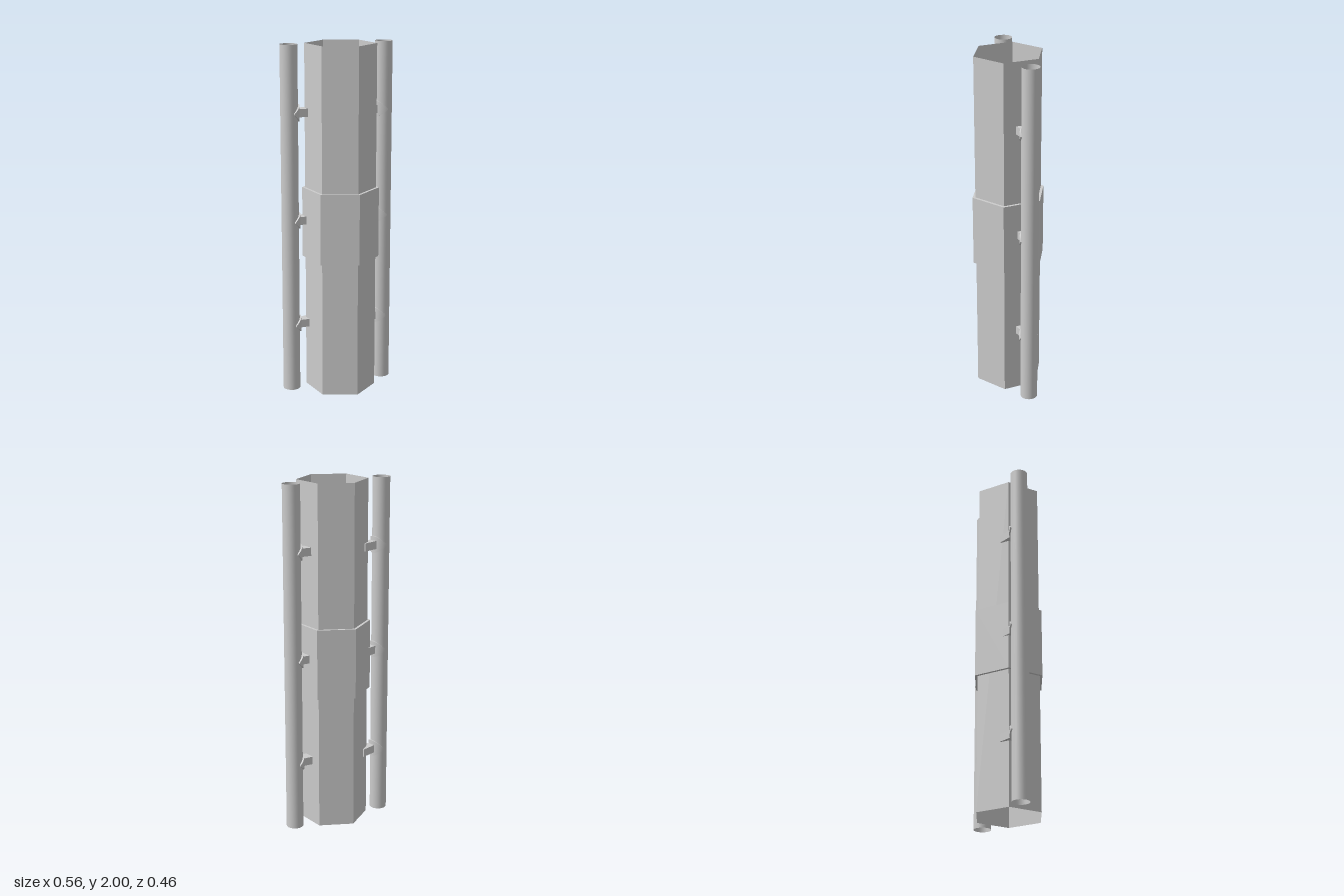
import * as THREE from 'three';

const grey = (opts = {}) => new THREE.MeshStandardMaterial({ color: 0xcccccc, side: THREE.DoubleSide, ...opts });
const HEX_TURN = THREE.MathUtils.degToRad(43.8);
const PIPE_R = 0.049;

function add(parent, name, geometry, material) {
  const mesh = new THREE.Mesh(geometry, material);
  mesh.name = name;
  parent.add(mesh);
  return mesh;
}

// Apply a rule to every vertex, then refresh the normals
function reshape(geometry, rule) {
  const pos = geometry.attributes.position;
  const v = new THREE.Vector3();
  for (let i = 0; i < pos.count; i++) {
    rule(v.fromBufferAttribute(pos, i));
    pos.setXYZ(i, v.x, v.y, v.z);
  }
  geometry.computeVertexNormals();
  return geometry;
}

// Oval pad wrapped around the pipe, facing local +z
function saddleGeometry() {
  return reshape(new THREE.BoxGeometry(2, 2, 1, 14, 1, 1), (v) => {
    const a = v.x * THREE.MathUtils.degToRad(86);
    const r = 0.053 + v.z * 0.01;
    v.set(r * Math.sin(a), v.y * 0.048 * Math.cos(a), r * Math.cos(a));
  });
}

// Wedge-shaped arm that widens toward the hexagonal tube
function armGeometry() {
  return reshape(new THREE.BoxGeometry(2, 0.046, 1), (v) => {
    const t = v.z + 0.5;
    v.x *= 0.024 + 0.0155 * t;
    v.z = 0.053 + 0.093 * t;
  });
}

export function createModel() {
  const model = new THREE.Group();
  model.name = 'hexagonalTubeWithPipes';
  const flat = grey({ flatShading: true });
  const smooth = grey();

  // Open hexagonal tube with a collar round its middle
  const body = new THREE.Group();
  body.name = 'hexagonalBody';
  body.position.set(0.029, 0, 0.019);
  model.add(body);
  add(body, 'hexagonalTube', new THREE.CylinderGeometry(0.2, 0.2, 2, 6, 1, true, HEX_TURN), flat).position.y = 1;
  const collar = [[0.2, 0.785], [0.217, 0.785], [0.217, 1.19], [0.2, 1.19]].map(([x, y]) => new THREE.Vector2(x, y));
  add(body, 'collar', new THREE.LatheGeometry(collar, 6, HEX_TURN), flat);

  // Two open side pipes, each held by three brackets
  const pipes = [
    { name: 'rightPipe', x: -0.231, z: 0.146, turn: 0.75 * Math.PI },
    { name: 'leftPipe', x: 0.227, z: -0.181, turn: -0.25 * Math.PI },
  ];
  for (const { name, x, z, turn } of pipes) {
    const side = new THREE.Group();
    side.name = name + 'Assembly';
    side.position.set(x, 0, z);
    side.rotation.y = turn;
    model.add(side);
    add(side, name, new THREE.CylinderGeometry(PIPE_R, PIPE_R, 2, 32, 1, true), smooth).position.y = 1;
    for (const y of [0.39, 1.005, 1.62]) {
      const bracket = new THREE.Group();
      bracket.name = 'bracket';
      bracket.position.y = y;
      side.add(bracket);
      add(bracket, 'saddle', saddleGeometry(), smooth);
      add(bracket, 'arm', armGeometry(), flat);
    }
  }
  return model;
}
